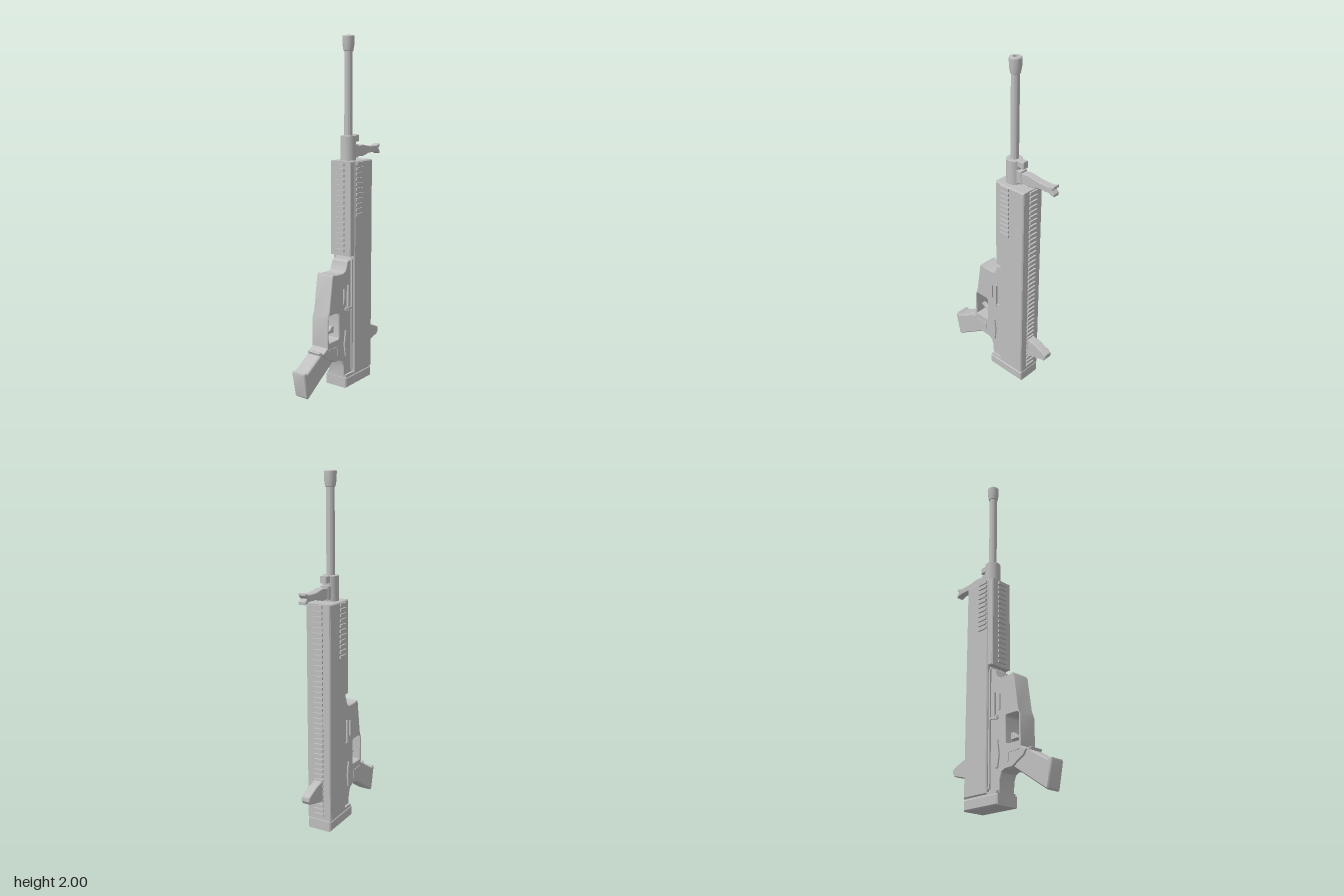
import * as THREE from 'three';
import { toCreasedNormals } from 'three/addons/utils/BufferGeometryUtils.js';

const gunGrey = new THREE.MeshStandardMaterial({ color: 0xbfbfbf });
gunGrey.name = 'gunGrey';

export function createModel() {
  const model = new THREE.Group();
  const BZ = -0.085; // bore axis

  function add(name, geometry, parent = model) {
    const mesh = new THREE.Mesh(geometry, gunGrey);
    mesh.name = name;
    parent.add(mesh);
    return mesh;
  }

  // Side outline in (z, y), extruded across x to the half width, edges bevelled
  function sideGeometry(shape, half, bevel = 0.004) {
    const depth = 2 * (half - bevel);
    const g = new THREE.ExtrudeGeometry(shape, {
      depth, bevelEnabled: bevel > 0, bevelSize: bevel, bevelOffset: -bevel,
      bevelThickness: bevel, bevelSegments: 1, curveSegments: 6,
    });
    g.translate(0, 0, -depth / 2);
    g.rotateY(-Math.PI / 2);
    return toCreasedNormals(g, 0.5);
  }
  const outline = (pts) => new THREE.Shape(pts.map(([z, y]) => new THREE.Vector2(z, y)));
  const block = (name, half, z0, z1, y0, y1, bevel = 0.004) =>
    add(name, sideGeometry(outline([[z0, y0], [z1, y0], [z1, y1], [z0, y1]]), half, bevel));
  function box(name, w, h, d, x, y, z, parent) {
    const mesh = add(name, new THREE.BoxGeometry(w, h, d), parent);
    mesh.position.set(x, y, z);
    return mesh;
  }
  function lathe(name, pts) {
    const g = new THREE.LatheGeometry(pts.map(([r, y]) => new THREE.Vector2(r, y)), 32);
    add(name, toCreasedNormals(g, 0.5)).position.z = BZ;
  }

  // Main body
  block('upperReceiver', 0.075, -0.22, -0.045, 0.065, 1.31, 0.006);
  block('handguard', 0.071, -0.075, -0.01, 0.77, 1.31, 0.005);
  block('buttPlate', 0.073, -0.22, 0.035, 0, 0.06, 0.006);
  block('buttSeam', 0.068, -0.21, 0.025, 0.05, 0.075, 0);

  // Barrel, gas block and hollow muzzle
  lathe('barrel', [[0.023, 1.4], [0.023, 1.93]]);
  lathe('gasBlock', [[0, 1.3], [0.045, 1.3], [0.045, 1.447], [0.042, 1.45], [0, 1.45]]);
  lathe('muzzle', [[0.022, 1.912], [0.027, 1.915], [0.033, 1.95], [0.034, 1.994],
    [0.03, 2], [0.014, 2], [0.014, 1.95], [0, 1.95]]);

  // Lower receiver with magazine well and open trigger guard
  const lower = outline([
    [-0.06, 0.06], [0.03, 0.06], [0.032, 0.13], [0.045, 0.165], [0.07, 0.178],
    [0.12, 0.18], [0.2, 0.225], [0.22, 0.255], [0.182, 0.278], [0.182, 0.44],
    [0.165, 0.485], [0.137, 0.675], [0.128, 0.689], [0.105, 0.682], [0.035, 0.68],
    [0.015, 0.69], [0.004, 0.71], [-0.004, 0.738], [-0.015, 0.746],
    [-0.036, 0.748], [-0.045, 0.772], [-0.06, 0.772],
  ]);
  const guard = new THREE.Path();
  guard.moveTo(0.09, 0.305);
  guard.lineTo(0.17, 0.305);
  guard.lineTo(0.171, 0.445);
  guard.quadraticCurveTo(0.171, 0.462, 0.155, 0.462);
  guard.lineTo(0.09, 0.462);
  guard.quadraticCurveTo(0.076, 0.462, 0.076, 0.447);
  guard.lineTo(0.076, 0.32);
  guard.quadraticCurveTo(0.076, 0.305, 0.09, 0.305);
  lower.holes.push(guard);
  add('lowerReceiver', sideGeometry(lower, 0.055, 0.003));

  // Trigger
  add('trigger', sideGeometry(outline([
    [0.07, 0.335], [0.11, 0.338], [0.14, 0.336], [0.168, 0.352], [0.166, 0.362],
    [0.14, 0.35], [0.11, 0.355], [0.09, 0.375], [0.07, 0.375],
  ]), 0.014, 0.002));

  // Pistol grip
  add('grip', sideGeometry(outline([
    [0.09, 0.17], [0.12, 0.18], [0.342, 0.032], [0.35, 0.04], [0.378, 0.172],
    [0.375, 0.184], [0.362, 0.188], [0.35, 0.18], [0.238, 0.248], [0.243, 0.262],
    [0.235, 0.266], [0.21, 0.257], [0.175, 0.277], [0.09, 0.277],
  ]), 0.045, 0.006));

  // Ribbed accessory rails
  function rail(name, y0, y1, place) {
    const group = new THREE.Group();
    group.name = name;
    const count = Math.round((y1 - y0) / 0.03);
    const pitch = (y1 - y0) / count;
    for (let i = 0; i < count; i++) place(group, y0 + (i + 0.5) * pitch, pitch * 0.55);
    model.add(group);
  }
  rail('backRail', 0.08, 1.31, (g, y, h) => box('rib', 0.058, h, 0.014, 0, y, -0.223, g));
  rail('frontRail', 0.785, 1.305, (g, y, h) => box('rib', 0.058, h, 0.012, 0, y, -0.006, g));
  for (const s of [1, -1]) {
    const side = s > 0 ? 'left' : 'right';
    rail(side + 'Rail', 0.99, 1.31, (g, y, h) => box('rib', 0.014, h, 0.062, s * 0.077, y, -0.086, g));

    // Controls on the lower receiver sides
    box(side + 'MagazineCatch', 0.012, 0.09, 0.008, s * 0.057, 0.545, 0.034);
    box(side + 'BoltCatch', 0.016, 0.15, 0.01, s * 0.058, 0.53, -0.002);
    box(side + 'ReceiverLedge', 0.014, 0.012, 0.06, s * 0.057, 0.465, -0.012);
    box(side + 'GripLedge', 0.008, 0.008, 0.08, s * 0.055, 0.262, 0.13);
    box(side + 'GripRib', 0.008, 0.05, 0.008, s * 0.055, 0.237, 0.092);
    box(side + 'BodySeam', 0.012, 0.66, 0.012, s * 0.058, 0.42, -0.04);
    const selector = add(side + 'Selector', sideGeometry(outline([
      [0.01, 0.19], [0.022, 0.19], [0.034, 0.26], [0.022, 0.34], [0.012, 0.34], [0.002, 0.26],
    ]), 0.006, 0.002));
    selector.position.x = s * 0.058;
    const pin = add(side + 'Pin', new THREE.CylinderGeometry(0.013, 0.013, 0.012, 16));
    pin.rotation.z = Math.PI / 2;
    pin.position.set(s * 0.056, 0.465, 0.012);
  }

  // Front sight: bracket, forked arm and adjuster block
  block('frontSightBase', 0.025, -0.155, -0.11, 1.322, 1.398);
  add('frontSight', sideGeometry(outline([
    [-0.13, 1.33], [-0.2, 1.326], [-0.27, 1.342], [-0.34, 1.342], [-0.376, 1.33],
    [-0.377, 1.345], [-0.362, 1.362], [-0.377, 1.378], [-0.376, 1.39],
    [-0.34, 1.378], [-0.27, 1.38], [-0.2, 1.392], [-0.13, 1.386],
  ]), 0.022, 0.003));
  block('gasRegulator', 0.02, -0.165, -0.11, 1.413, 1.452);

  // Rear sight
  add('rearSight', sideGeometry(outline([
    [-0.21, 0.19], [-0.245, 0.185], [-0.355, 0.215], [-0.368, 0.235],
    [-0.366, 0.258], [-0.29, 0.292], [-0.225, 0.305], [-0.21, 0.305],
  ]), 0.026, 0.004));

  return model;
}
